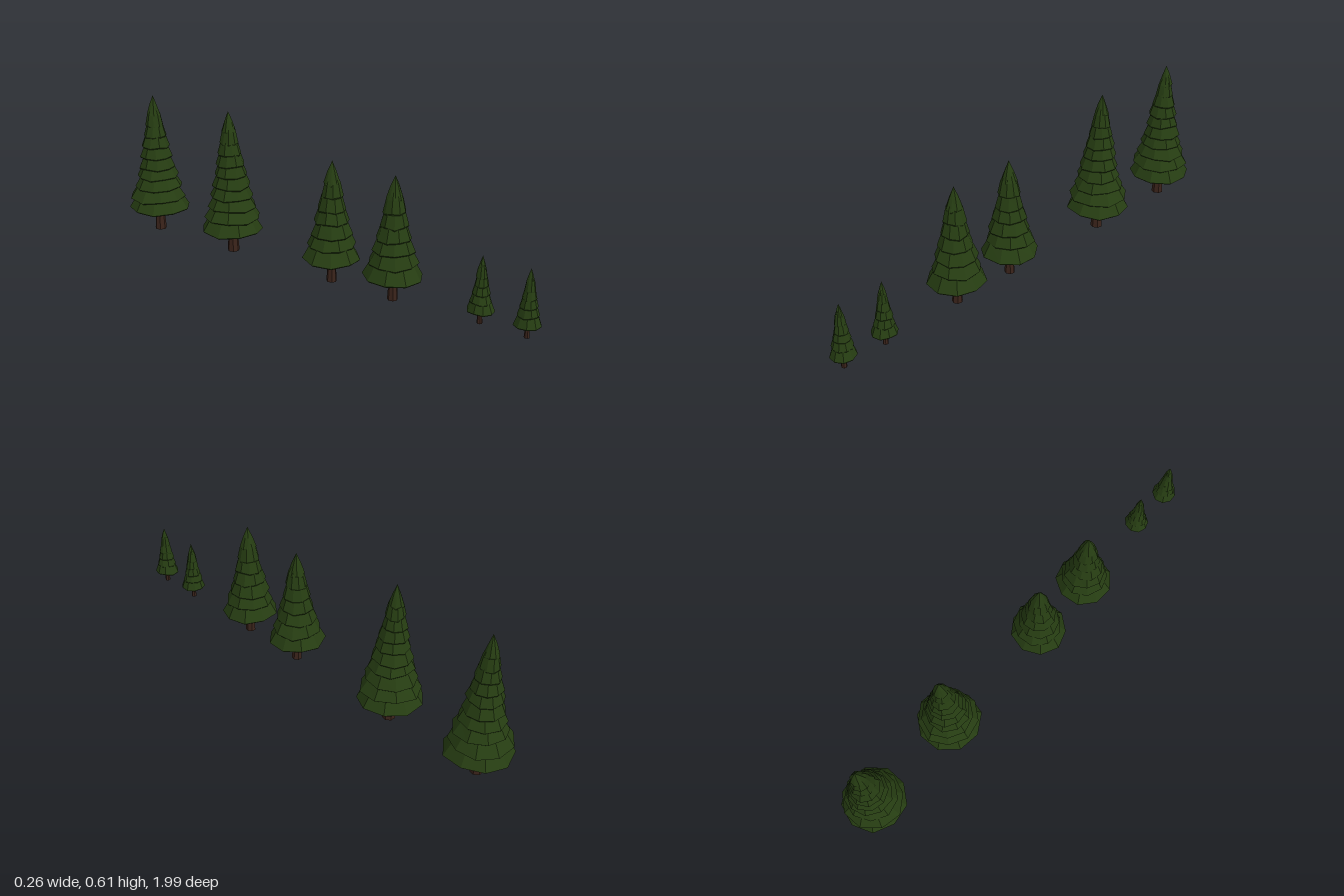
import * as THREE from 'three';

const needles = new THREE.MeshStandardMaterial({ color: 0x263d12, roughness: 1, flatShading: true, side: THREE.DoubleSide });
const bark = new THREE.MeshStandardMaterial({ color: 0x3a231a, roughness: 1, flatShading: true });

// Small seeded generator, values in -1..1
function seeded(seed) {
  let s = seed * 7919 + 17;
  return () => {
    s = (s * 16807) % 2147483647;
    return (s / 2147483647) * 2 - 1;
  };
}

// Each kind lists its skirts from bottom to top as [lip height, lip radius]
const LARGE = {
  top: 0.607, trunk: 0.024, base: 0, lean: [0, -0.016],
  tiers: [[0.1, 0.131], [0.155, 0.121], [0.202, 0.105], [0.247, 0.09], [0.292, 0.08],
    [0.34, 0.07], [0.385, 0.061], [0.43, 0.05], [0.475, 0.039], [0.522, 0.03]],
};
const MEDIUM = {
  top: 0.502, trunk: 0.02, base: 0.002, lean: [0, 0],
  tiers: [[0.103, 0.117], [0.157, 0.098], [0.207, 0.085], [0.258, 0.07], [0.308, 0.057],
    [0.36, 0.045], [0.412, 0.034]],
};
const SMALL = {
  top: 0.272, trunk: 0.0105, base: 0.006, lean: [0, 0],
  tiers: [[0.058, 0.051], [0.094, 0.041], [0.126, 0.034], [0.158, 0.027], [0.19, 0.021], [0.222, 0.015]],
};

// Hollow faceted skirt: underside, thick lip, flared outer face
function skirt(radius, gap, tipHeight, rand) {
  const sides = 9;
  const profile = [
    [0.2 * radius, tipHeight ? 0.45 * tipHeight : 1.5 * gap],
    [0.95 * radius, -0.1 * gap],
    [radius, 0],
  ];
  if (tipHeight) profile.push([0.55 * radius, 0.5 * tipHeight], [0, tipHeight]);
  else profile.push([0.74 * radius, gap], [0.4 * radius, 1.7 * gap]);
  const geo = new THREE.LatheGeometry(profile.map(([r, y]) => new THREE.Vector2(r, y)), sides, rand() * Math.PI);
  const pos = geo.attributes.position;
  const rows = profile.length;
  const jitter = Array.from({ length: sides }, () => [1 + 0.035 * rand(), 0.1 * gap * rand()]);
  // Uneven lip: whole columns shift a little, the seam column matches the first
  for (let j = 0; j <= sides; j++) {
    const [scale, lift] = jitter[j % sides];
    for (let i = 1; i < Math.min(rows, 4); i++) {
      const k = j * rows + i;
      pos.setXYZ(k, pos.getX(k) * scale, pos.getY(k) + lift, pos.getZ(k) * scale);
    }
  }
  geo.computeVertexNormals();
  return geo;
}

// Tapered ribbed trunk with a flared foot, following the lean
function trunkGeometry(kind, length) {
  const geo = new THREE.CylinderGeometry(0.45 * kind.trunk, 0.86 * kind.trunk, length, 14, 6);
  geo.translate(0, length / 2, 0);
  const pos = geo.attributes.position;
  for (let k = 0; k < pos.count; k++) {
    const x = pos.getX(k), y = pos.getY(k), z = pos.getZ(k);
    const rib = 1 + 0.06 * Math.cos(7 * Math.atan2(x, z));
    const flare = rib * (1 + 0.16 * Math.max(0, 1 - (6 * y) / length));
    const t = (y / kind.top) ** 2;
    pos.setXYZ(k, x * flare + kind.lean[0] * t, y, z * flare + kind.lean[1] * t);
  }
  geo.computeVertexNormals();
  return geo;
}

function tree(kind, seed) {
  const rand = seeded(seed);
  for (let i = 0; i < 5; i++) rand();
  const group = new THREE.Group();
  const trunk = new THREE.Mesh(trunkGeometry(kind, kind.top * 0.8), bark);
  trunk.name = 'trunk';
  trunk.position.y = kind.base;
  group.add(trunk);

  const last = kind.tiers.length - 1;
  kind.tiers.forEach(([y, radius], i) => {
    const tip = i === last ? kind.top - y : 0;
    const gap = tip ? tip * 0.6 : kind.tiers[i + 1][0] - y;
    const branch = new THREE.Mesh(skirt(radius, gap, tip, rand), needles);
    branch.name = `branchTier${i + 1}`;
    const t = (y / kind.top) ** 2;
    const sway = tip ? 0 : 0.02 * radius;
    branch.position.set(kind.lean[0] * t + sway * rand(), y, kind.lean[1] * t + sway * rand());
    group.add(branch);
  });
  return group;
}

export function createModel() {
  const model = new THREE.Group();
  model.name = 'pineTreeRow';
  // Name, kind, x, z
  const row = [
    ['smallPineFront', SMALL, 0, 0.948],
    ['smallPineBack', SMALL, 0, 0.757],
    ['mediumPineFront', MEDIUM, -0.012, 0.385],
    ['mediumPineBack', MEDIUM, -0.012, 0.095],
    ['largePineFront', LARGE, 0, -0.433],
    ['largePineBack', LARGE, 0, -0.865],
  ];
  row.forEach(([name, kind, x, z], i) => {
    const pine = tree(kind, i + 3);
    pine.name = name;
    pine.position.set(x, 0, z);
    model.add(pine);
  });
  return model;
}
